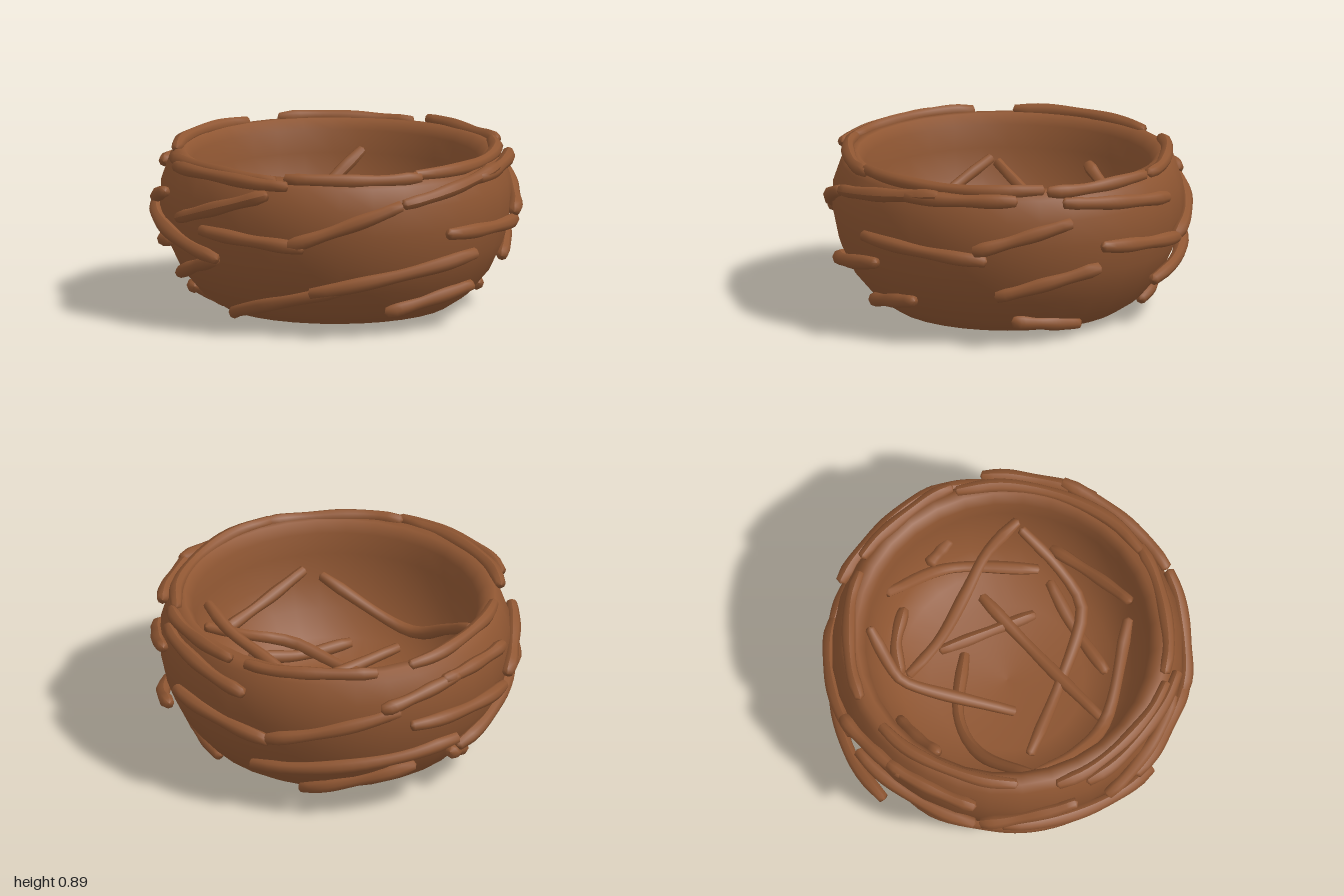
import * as THREE from 'three';

// Bowl cross-section [radius, height]: outside going up, then inside going down
const OUTER = [[0.5, 0.025], [0.6, 0.045], [0.7, 0.11], [0.81, 0.24], [0.88, 0.39], [0.915, 0.56], [0.91, 0.7], [0.872, 0.81]];
const INNER = [[0.745, 0.8], [0.74, 0.68], [0.71, 0.54], [0.655, 0.4], [0.56, 0.28], [0.4, 0.2], [0, 0.17]];

const brown = new THREE.MeshStandardMaterial({ color: 0x8f5632 });
brown.name = 'twigBrown';

// Linear lookup in a list of [key, value] pairs with rising keys
function lookup(pairs, k) {
  if (k <= pairs[0][0]) return pairs[0][1];
  for (let i = 1; i < pairs.length; i++) {
    const [a, va] = pairs[i - 1], [b, vb] = pairs[i];
    if (k <= b) return va + (vb - va) * (k - a) / (b - a);
  }
  return pairs[pairs.length - 1][1];
}
const outerRadius = y => lookup(OUTER.map(([r, h]) => [h, r]), y);

// Point on a circle; angle 0 is the front, 90 is +x
function polar(deg, r, y) {
  const a = THREE.MathUtils.degToRad(deg);
  return new THREE.Vector3(r * Math.sin(a), y, r * Math.cos(a));
}

// Round twig with blunt closed ends, slightly uneven in thickness
function twig(points, radius, name, seed) {
  const curve = new THREE.CatmullRomCurve3(points, false, 'centripetal');
  const n = 18, sides = 8;
  const geo = new THREE.TubeGeometry(curve, n, radius, sides, false);
  const pos = geo.attributes.position, v = new THREE.Vector3();
  const length = curve.getLength();
  for (let i = 0; i <= n; i++) {
    const end = Math.min(i, n - i);
    const scale = end === 0 ? 0 : end === 1 ? 0.82 : 1 + 0.09 * Math.sin(i * 0.7 + seed * 2.1);
    const ring = curve.getPointAt(i / n);
    // End rings sit close to the tips so the ends are rounded, not pointed
    const tip = end === 1 ? Math.max(0, length / n - 0.012) : 0;
    const shift = curve.getTangentAt(i / n).multiplyScalar(i === 1 ? -tip : i === n - 1 ? tip : 0);
    for (let j = 0; j <= sides; j++) {
      const k = i * (sides + 1) + j;
      v.fromBufferAttribute(pos, k).sub(ring).multiplyScalar(scale).add(ring).add(shift);
      pos.setXYZ(k, v.x, v.y, v.z);
    }
  }
  geo.computeVertexNormals();
  const mesh = new THREE.Mesh(geo, brown);
  mesh.name = name;
  return mesh;
}

export function createModel() {
  const nest = new THREE.Group();
  nest.name = 'nest';

  // Hollow bowl with a rounded rim
  const profile = [[0, 0.025], ...OUTER, [0.835, 0.852], [0.785, 0.855], ...INNER]
    .map(([r, y]) => new THREE.Vector2(r, y));
  const bowl = new THREE.Mesh(new THREE.LatheGeometry(profile, 32), brown);
  bowl.name = 'bowl';
  nest.add(bowl);

  // Twigs wrapped around the outside: start angle, start height, end angle, end height, extra lift
  const wall = [
    [-48, 0.55, -16, 0.69], [-41, 0.55, 14, 0.41, 0.03], [-20, 0.24, 12, 0.4], [-72, 0.28, -15, 0.43],
    [-6, 0.58, 32, 0.78], [6, 0.55, 45, 0.51], [38, 0.51, 77, 0.73], [-6, 0.04, 58, 0.28],
    [45, 0.25, 103, 0.44, 0.07], [75, 0.12, 112, 0.23, 0.02], [77, 0.73, 123, 0.83], [93, 0.55, 140, 0.5],
    [135, 0.55, 168, 0.7], [142, 0.29, 177, 0.45, 0.045], [110, 0.8, 150, 0.82], [148, 0.13, 180, 0.08],
    [165, 0.8, 210, 0.72], [178, 0.55, 219, 0.47], [217, 0.48, 262, 0.66],
    [209, 0.26, 281, 0.44, 0.075], [225, 0.09, 270, 0.27], [255, 0.68, 285, 0.76],
    [278, 0.76, 311, 0.74], [265, 0.56, 311, 0.5], [285, 0.26, 308, 0.1],
  ];
  wall.forEach(([a0, y0, a1, y1, extra = 0], i) => {
    const pts = [];
    for (let k = 0; k <= 5; k++) {
      const t = k / 5, y = y0 + (y1 - y0) * t;
      const lift = 0.01 + 0.02 * Math.abs(2 * t - 1) + extra * t;
      pts.push(polar(a0 + (a1 - a0) * t, outerRadius(y) + lift, y));
    }
    nest.add(twig(pts, 0.036, 'wallTwig' + (i + 1), i));
  });

  // Small hooked twig low on the front
  nest.add(twig([[-24, 0.15], [-36, 0.13], [-42, 0.08], [-36, 0.036]]
    .map(([a, y]) => polar(a, outerRadius(y) + 0.015, y)), 0.036, 'hookTwig', 3));

  // Twigs half sunk along the rim: start angle, end angle, radius, height
  const rim = [
    [-12, 39, 0.9, 0.835], [36, 87, 0.84, 0.852], [84, 160, 0.83, 0.855], [160, 202, 0.86, 0.855],
    [206, 256, 0.835, 0.85], [268, 325, 0.82, 0.86], [-22, 34, 0.86, 0.85],
  ];
  rim.forEach(([a0, a1, r, y], i) => {
    const pts = [];
    for (let k = 0; k <= 5; k++) {
      const t = k / 5;
      pts.push(polar(a0 + (a1 - a0) * t, r + 0.01 * Math.cos(t * 6), y + 0.006 * Math.sin(t * 5 + i)));
    }
    nest.add(twig(pts, 0.034, 'rimTwig' + (i + 1), i));
  });

  // Loose twigs leaning and lying in the hollow
  const loose = [
    [[-0.5, 0.71, -0.53], [-0.51, 0.51, -0.27], [-0.48, 0.48, -0.21], [-0.1, 0.28, 0.2]],
    [[-0.45, 0.42, -0.27], [-0.2, 0.47, -0.31], [0.05, 0.57, -0.4], [0.25, 0.64, -0.48], [0.48, 0.71, -0.5]],
    [[-0.2, 0.27, -0.32], [0.33, 0.24, -0.17]],
    [[0.16, 0.28, -0.42], [0.19, 0.25, 0.04], [0.22, 0.29, 0.51]],
    [[0.49, 0.56, -0.5], [0.54, 0.42, -0.25], [0.53, 0.34, -0.05], [0.47, 0.32, 0.03], [0.2, 0.25, 0.2], [-0.2, 0.28, 0.43]],
    [[0.48, 0.32, -0.25], [0.43, 0.27, 0.02], [0.4, 0.28, 0.33]],
    [[-0.09, 0.23, -0.24], [-0.35, 0.28, 0.03], [-0.42, 0.38, 0.28], [-0.33, 0.62, 0.62]],
    [[-0.32, 0.64, 0.63], [-0.06, 0.5, 0.63], [0.2, 0.38, 0.56], [0.61, 0.6, 0.25]],
    [[-0.28, 0.56, -0.66], [0.1, 0.39, -0.61], [0.48, 0.34, -0.32]],
    [[0.57, 0.45, -0.35], [0.64, 0.52, -0.05], [0.67, 0.62, 0.2]],
    [[-0.63, 0.42, -0.12], [-0.65, 0.53, 0.05], [-0.64, 0.65, 0.23]],
    [[-0.45, 0.33, -0.32], [-0.38, 0.39, -0.45], [-0.22, 0.42, -0.58]],
    [[0, 0.5, -0.66], [0.18, 0.53, -0.69]],
  ];
  loose.forEach((path, i) => {
    nest.add(twig(path.map(p => new THREE.Vector3(...p)), 0.032, 'looseTwig' + (i + 1), i));
  });
  return nest;
}
